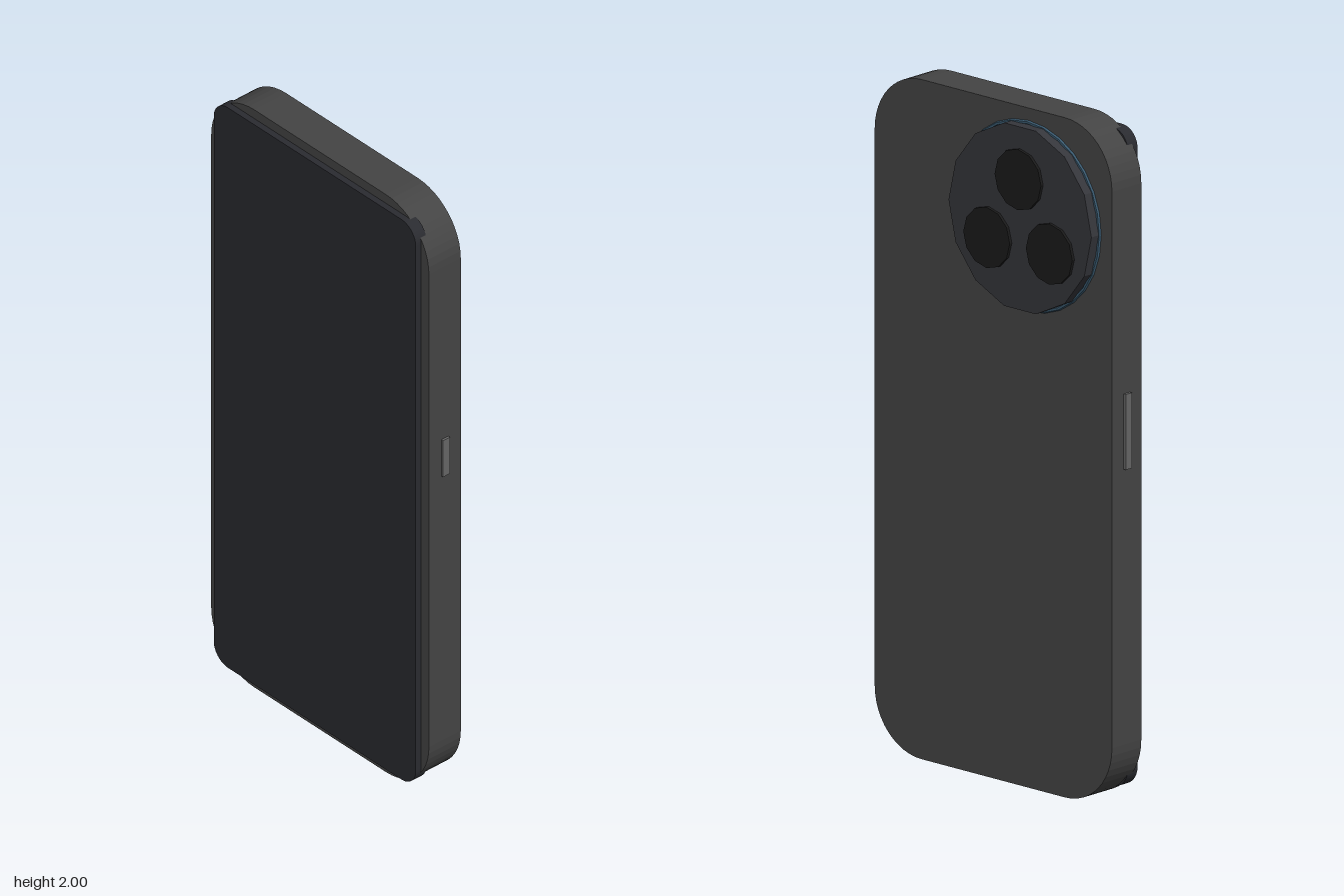
import * as THREE from 'three';

const MID_Y = 1.008;

function material(color) {
  return new THREE.MeshStandardMaterial({ color, flatShading: true });
}

function addMesh(parent, name, geometry, mat, x = 0, y = 0, z = 0) {
  const mesh = new THREE.Mesh(geometry, mat);
  mesh.name = name;
  mesh.position.set(x, y, z);
  parent.add(mesh);
  return mesh;
}

// Upright rounded slab, extruded from z = 0 towards +z
function roundedSlab(width, height, radius, depth, segments) {
  const w = width / 2 - radius, h = height / 2 - radius;
  const shape = new THREE.Shape();
  [[w, h], [-w, h], [-w, -h], [w, -h]].forEach(([cx, cy], i) => {
    shape.absarc(cx, cy, radius, i * Math.PI / 2, (i + 1) * Math.PI / 2, false);
  });
  return new THREE.ExtrudeGeometry(shape, { depth, bevelEnabled: false, curveSegments: segments });
}

// Disc lying along z, with a corner on the x axis
function disc(radius, depth, sides) {
  return new THREE.CylinderGeometry(radius, radius, depth, sides, 1, false, Math.PI / 2)
    .rotateX(Math.PI / 2);
}

export function createModel() {
  const phone = new THREE.Group();
  phone.name = 'phone';

  const bodyMat = material(0x444444);
  const screenMat = material(0x2a2b30);
  const bumpMat = material(0x35363b);
  const ringMat = material(0x3a5a70);
  const lensMat = material(0x1a1a1a);
  const buttonMat = material(0x666666);
  const portMat = material(0x222222);

  // Case and the raised screen
  addMesh(phone, 'body', roundedSlab(0.91, 1.984, 0.18, 0.12, 6), bodyMat, 0, MID_Y, -0.05);
  addMesh(phone, 'screen', roundedSlab(0.844, 1.924, 0.06, 0.04, 6), screenMat, 0, MID_Y, 0.05);

  // Round camera island with a thin trim ring and three lenses
  const camera = new THREE.Group();
  camera.name = 'camera';
  camera.position.set(-0.135, 1.685, 0);
  phone.add(camera);
  addMesh(camera, 'cameraIsland', disc(0.274, 0.045, 14), bumpMat, 0, 0, -0.0625);
  addMesh(camera, 'trimRing', new THREE.TorusGeometry(0.273, 0.006, 6, 28), ringMat, 0, 0, -0.05);
  for (const [x, y] of [[0, 0.115], [-0.12, -0.078], [0.12, -0.078]]) {
    addMesh(camera, 'lens', disc(0.089, 0.02, 12), lensMat, x, y, -0.084);
  }

  // Side buttons and bottom port
  addMesh(phone, 'powerButton', new THREE.BoxGeometry(0.02, 0.125, 0.026), buttonMat, 0.452, 1.168, 0.01);
  addMesh(phone, 'volumeButton', new THREE.BoxGeometry(0.02, 0.22, 0.026), buttonMat, -0.454, 1.11, 0.01);
  addMesh(phone, 'chargingPort', new THREE.BoxGeometry(0.094, 0.03, 0.03), portMat, 0, 0.015, 0.013);

  return phone;
}
